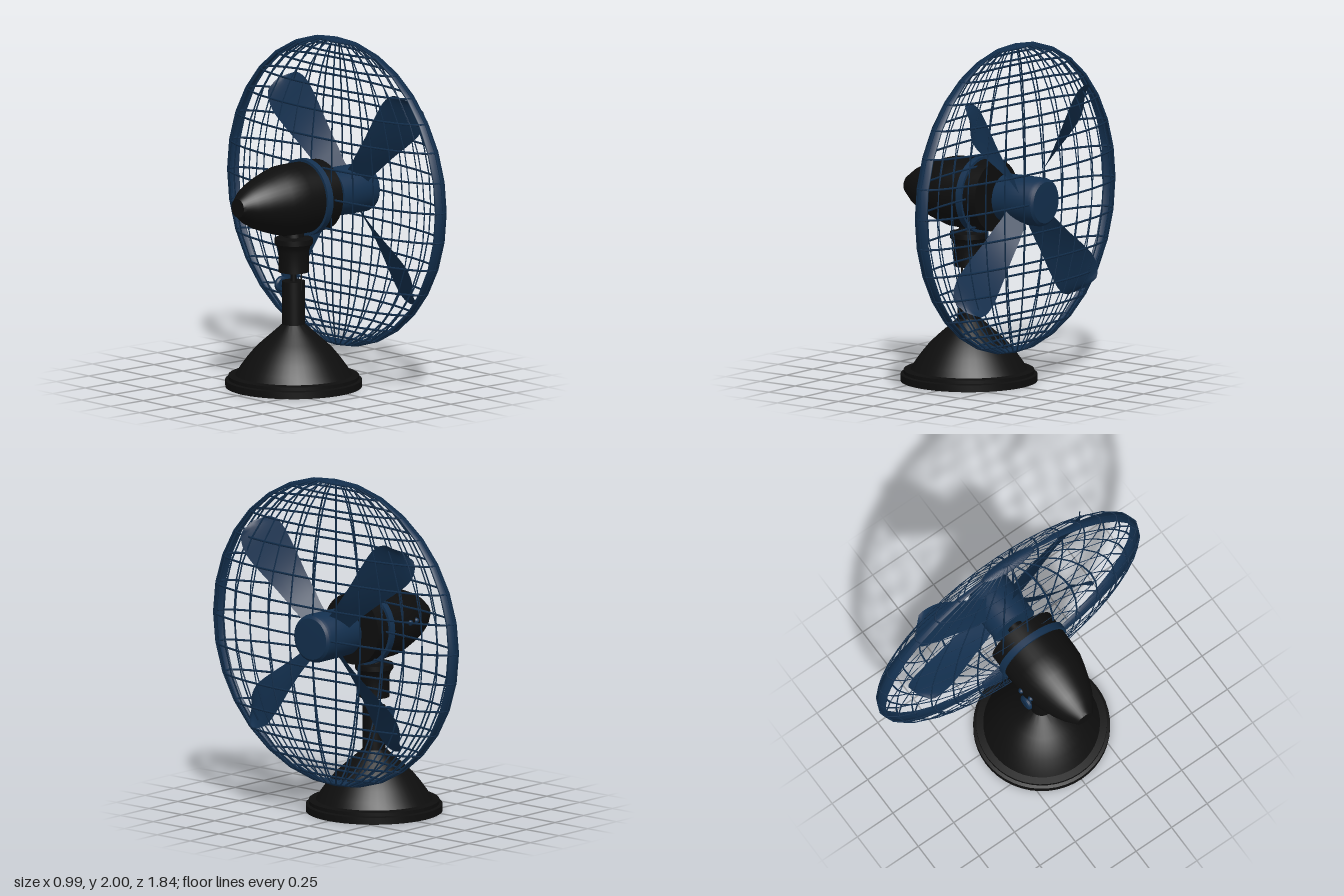
import * as THREE from 'three';
import { mergeGeometries, toCreasedNormals } from 'three/addons/utils/BufferGeometryUtils.js';

const black = new THREE.MeshStandardMaterial({ color: 0x0e0e0e });
const blue = new THREE.MeshStandardMaterial({ color: 0x13304f });
const blueThin = new THREE.MeshStandardMaterial({ color: 0x13304f, side: THREE.DoubleSide });

const STAND_X = -0.067, AXIS_Y = 1.095;

function add(parent, name, geometry, material, x = 0, y = 0, z = 0) {
  const mesh = new THREE.Mesh(geometry, material);
  mesh.name = name;
  mesh.position.set(x, y, z);
  parent.add(mesh);
  return mesh;
}

// Turned part from [radius, height] pairs, listed from bottom to top
function turned(profile, segments = 40) {
  const points = profile.map(([r, h]) => new THREE.Vector2(r, h));
  return toCreasedNormals(new THREE.LatheGeometry(points, segments), 0.6);
}

// The same, with the axis along +x
const turnedX = (profile, segments) => turned(profile, segments).rotateZ(-Math.PI / 2);

// Paddle blade along +z, its leading edge (v = 1) pitched forward
function bladeGeometry() {
  const outline = new THREE.SplineCurve([
    [0.08, 0.05], [0.2, 0.055], [0.38, 0.08], [0.56, 0.115], [0.69, 0.128], [0.78, 0.09], [0.82, 0.0],
  ].map(([r, w]) => new THREE.Vector2(r, w)));
  const geometry = new THREE.PlaneGeometry(1, 2, 28, 6);
  const pos = geometry.attributes.position;
  for (let i = 0; i < pos.count; i++) {
    const p = outline.getPoint(pos.getX(i) + 0.5);
    const v = pos.getY(i);
    const width = Math.max(p.y, 0);
    const depth = Math.min(0.055, width * 0.9);
    pos.setXYZ(i, depth * v, -width * v, p.x);
  }
  geometry.computeVertexNormals();
  return geometry;
}

// Wire grid on a unit sphere: hoops through the poles and level rings
function cageGeometry() {
  const step = Math.PI / 16, wire = 0.007, parts = [];
  for (let k = 0; k < 16; k++) {
    parts.push(new THREE.TorusGeometry(1, wire, 4, 32).rotateY(k * step));
  }
  for (let k = -7; k <= 7; k++) {
    const ring = new THREE.TorusGeometry(Math.cos(k * step), wire, 4, 32);
    parts.push(ring.rotateX(Math.PI / 2).translate(0, Math.sin(k * step), 0));
  }
  return mergeGeometries(parts);
}

// Solid rim: a strip at each side and a cap at each pole
function rimGeometry() {
  const step = Math.PI / 16;
  return mergeGeometries([
    new THREE.SphereGeometry(1, 2, 16, Math.PI / 2 - step, 2 * step),
    new THREE.SphereGeometry(1, 2, 16, 1.5 * Math.PI - step, 2 * step),
    new THREE.SphereGeometry(1, 32, 1, 0, 2 * Math.PI, 0, step),
    new THREE.SphereGeometry(1, 32, 1, 0, 2 * Math.PI, Math.PI - step, step),
  ]);
}

export function createModel() {
  const model = new THREE.Group();
  model.name = 'deskFan';

  // Stand
  const stand = new THREE.Group();
  stand.name = 'stand';
  stand.position.x = STAND_X;
  model.add(stand);
  add(stand, 'base', turned([
    [0, 0], [0.393, 0], [0.393, 0.04], [0.375, 0.045], [0.375, 0.065], [0.335, 0.07],
    [0.31, 0.11], [0.27, 0.165], [0.225, 0.22], [0.175, 0.267], [0.12, 0.315], [0.065, 0.365], [0, 0.365],
  ], 48), black);
  add(stand, 'column', turned([[0, 0.35], [0.066, 0.35], [0.066, 0.615], [0, 0.615]]), black);
  add(stand, 'neckRod', new THREE.CylinderGeometry(0.017, 0.017, 0.1, 16), black, 0, 0.645);
  add(stand, 'neckSocket', turned([
    [0, 0.67], [0.088, 0.67], [0.088, 0.79], [0.095, 0.815], [0.11, 0.835], [0.11, 0.865], [0.06, 0.875], [0.055, 0.92], [0, 0.92],
  ]), black);
  add(stand, 'heightPin', new THREE.CylinderGeometry(0.005, 0.005, 0.1, 8), black, 0, 0.62, 0.066);

  // Clamp knob on the column
  add(stand, 'knobStem', new THREE.CylinderGeometry(0.018, 0.018, 0.06, 16).rotateX(Math.PI / 2), blue, 0, 0.58, -0.075);
  add(stand, 'knob', turned([
    [0, -0.015], [0.036, -0.015], [0.046, -0.007], [0.046, 0.007], [0.036, 0.015], [0, 0.015],
  ], 24).rotateX(Math.PI / 2), blue, 0, 0.58, -0.107);

  // Motor, lying along x
  const head = new THREE.Group();
  head.name = 'head';
  head.position.y = AXIS_Y;
  model.add(head);
  add(head, 'motorHousing', turnedX([
    [0, -0.497], [0.054, -0.497], [0.066, -0.48], [0.105, -0.43], [0.137, -0.37], [0.164, -0.3],
    [0.186, -0.23], [0.203, -0.165], [0.206, -0.1], [0.206, 0.13], [0, 0.13],
  ]), black);
  add(head, 'motorBand', turnedX([[0.2, 0.002], [0.222, 0.002], [0.222, 0.042], [0.2, 0.042]]), blue);
  for (const x of [-0.22, -0.15]) {
    add(head, 'button', new THREE.SphereGeometry(0.017, 16, 12), blue, x, 0.02, x < -0.2 ? -0.187 : -0.203);
  }
  add(head, 'shaft', turnedX([
    [0, 0.1], [0.024, 0.1], [0.024, 0.155], [0.045, 0.155], [0.045, 0.21], [0, 0.21],
  ], 24), black);

  // Hub and four blades
  add(head, 'hub', turnedX([
    [0, 0.2], [0.138, 0.2], [0.141, 0.3], [0.141, 0.455], [0.135, 0.475], [0.12, 0.487], [0, 0.49],
  ]), blue);
  const blade = bladeGeometry();
  for (let k = 0; k < 4; k++) {
    add(head, 'blade', blade, blueThin, 0.345).rotation.x = -THREE.MathUtils.degToRad(46 + 90 * k);
  }

  // Guard: a sphere flattened along the axis
  const guard = new THREE.Group();
  guard.name = 'guard';
  guard.position.set(0.265, 1.098, 0);
  guard.scale.set(0.205, 0.896, 0.914);
  model.add(guard);
  add(guard, 'guardWires', cageGeometry(), blue);
  add(guard, 'guardRim', rimGeometry(), blueThin);

  return model;
}
